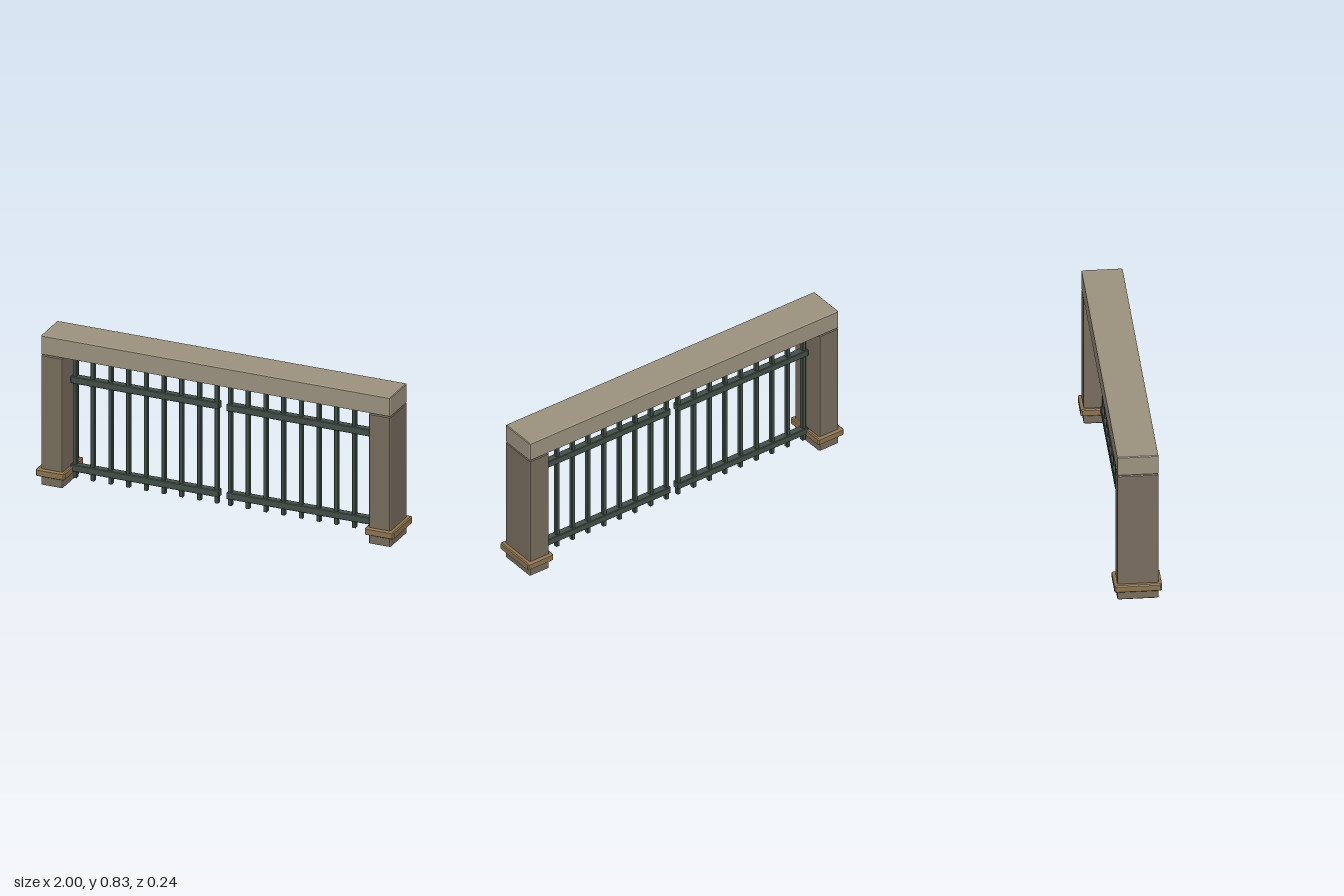
import * as THREE from 'three';
import { ConvexGeometry } from 'three/addons/geometries/ConvexGeometry.js';

const paint = (color) => new THREE.MeshStandardMaterial({ color, flatShading: true });

// Box from min to max corner with every edge chamfered by bevel [x, y, z]
function chamferBox(name, min, max, bevel, material) {
  const half = min.map((v, i) => (max[i] - v) / 2);
  const points = [];
  for (const sx of [-1, 1]) for (const sy of [-1, 1]) for (const sz of [-1, 1]) {
    const sign = [sx, sy, sz];
    // each corner becomes three points, one on each adjoining face
    for (let face = 0; face < 3; face++) {
      points.push(new THREE.Vector3(...sign.map((s, i) => s * (half[i] - (i === face ? 0 : bevel[i])))));
    }
  }
  const mesh = new THREE.Mesh(new ConvexGeometry(points), material);
  mesh.name = name;
  mesh.position.set(...min.map((v, i) => (v + max[i]) / 2));
  return mesh;
}

export function createModel() {
  const model = new THREE.Group();
  model.name = 'railing';
  const stone = paint(0x9c937f);
  const darkStone = paint(0x786d5e);
  const bronze = paint(0x8f7450);
  const iron = paint(0x445049);

  // Top beam resting on the posts
  model.add(chamferBox('topBeam', [-0.977, 0.727, -0.105], [0.977, 0.835, 0.105], [0.004, 0.004, 0.008], stone));

  for (const side of [-1, 1]) {
    const prefix = side > 0 ? 'left' : 'right';
    // Mirrored span along x
    const part = (name, x0, x1, y0, y1, z, bevel, material) => chamferBox(
      prefix + name,
      [Math.min(side * x0, side * x1), y0, -z],
      [Math.max(side * x0, side * x1), y1, z],
      bevel, material);

    // End post with its base band
    model.add(part('Post', 0.855, 0.977, 0.003, 0.726, 0.105, [0.004, 0.004, 0.008], darkStone));
    model.add(part('PostBand', 0.838, 1, 0.055, 0.095, 0.122, [0.006, 0.005, 0.008], bronze));

    // Fence panel: two rails and nine bars
    const panel = new THREE.Group();
    panel.name = prefix + 'FencePanel';
    const thin = [0.003, 0.003, 0.003];
    panel.add(part('LowerRail', 0.021, 0.85, 0.069, 0.107, 0.02, thin, iron));
    panel.add(part('UpperRail', 0.021, 0.85, 0.558, 0.596, 0.02, thin, iron));
    for (let i = 0; i < 9; i++) {
      const x = 0.037 + i * 0.099;
      panel.add(part('Bar' + (i + 1), x - 0.011, x + 0.011, 0.03, 0.7, 0.012, thin, iron));
    }
    model.add(panel);
  }
  return model;
}
